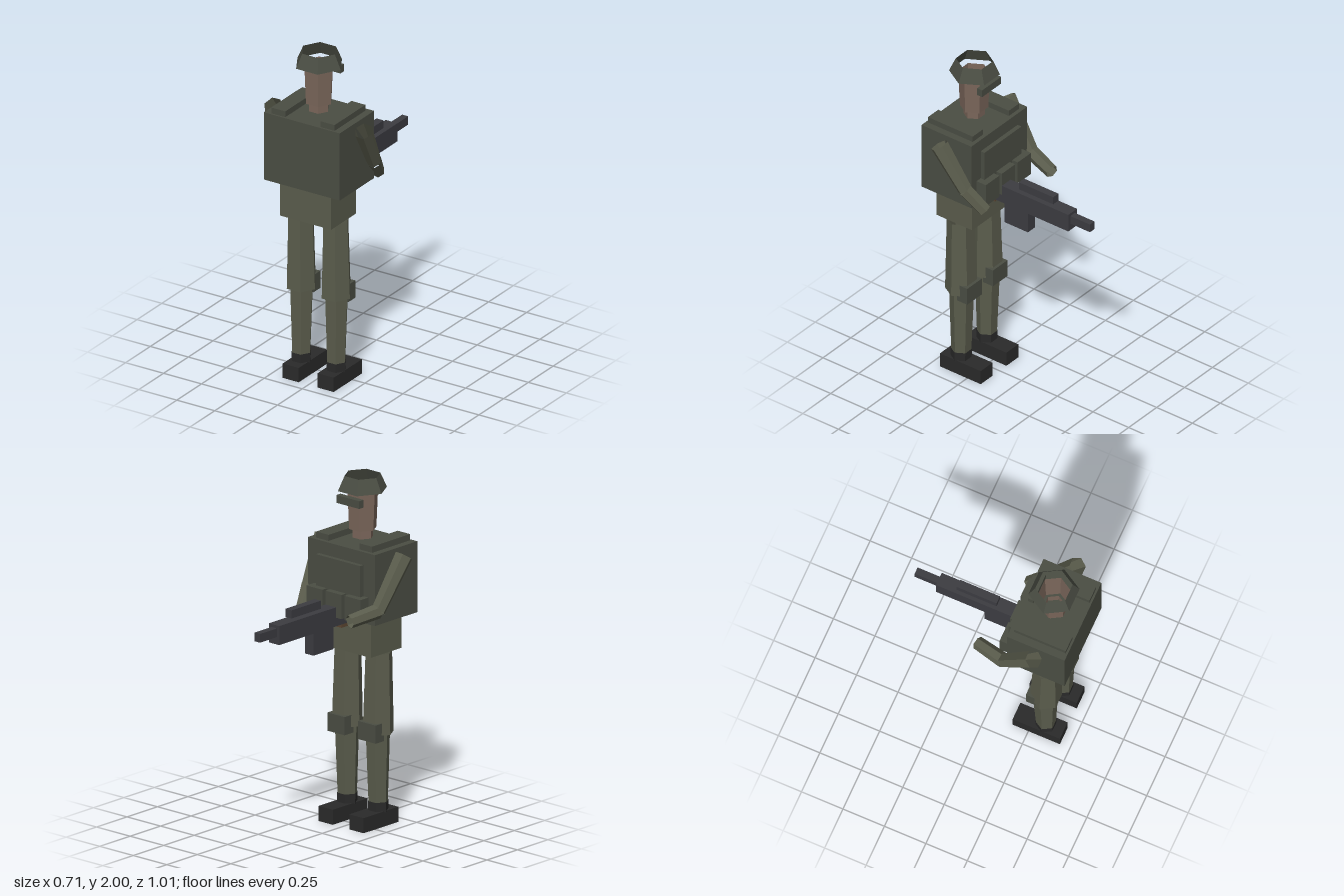
import * as THREE from 'three';

const mat = (color) => new THREE.MeshStandardMaterial({ color, flatShading: true, side: THREE.DoubleSide });

export function createModel() {
  const model = new THREE.Group();
  const vest = mat(0x4a4d43), cloth = mat(0x5a5c4c), dark = mat(0x2a2a2a);
  const skin = mat(0x7a665a), metal = mat(0x3c3c41), wood = mat(0x5c4632);

  const add = (name, geometry, material) => {
    const mesh = new THREE.Mesh(geometry, material);
    mesh.name = name;
    model.add(mesh);
    return mesh;
  };

  // Box given by its extents on each axis
  const box = (name, material, [x0, x1], [y0, y1], [z0, z1]) =>
    add(name, new THREE.BoxGeometry(x1 - x0, y1 - y0, z1 - z0), material)
      .position.set((x0 + x1) / 2, (y0 + y1) / 2, (z0 + z1) / 2);

  // Open six-sided tapered tube between two points
  const tube = (name, material, from, to, r0, r1) => {
    const a = new THREE.Vector3(...from), b = new THREE.Vector3(...to);
    const dir = b.clone().sub(a);
    const geo = new THREE.CylinderGeometry(r1, r0, dir.length(), 6, 1, true);
    geo.rotateY(Math.PI / 6);
    const mesh = add(name, geo, material);
    mesh.position.copy(a).add(b).multiplyScalar(0.5);
    // point the tube along the limb; upright tubes keep their corners on the x axis
    if (dir.y < 0) {
      mesh.quaternion.setFromUnitVectors(new THREE.Vector3(0, -1, 0), dir.normalize());
      geo.rotateX(Math.PI);
    } else {
      mesh.quaternion.setFromUnitVectors(new THREE.Vector3(0, 1, 0), dir.normalize());
    }
    return mesh;
  };

  // Body
  box('torso', vest, [-0.25, 0.25], [1.215, 1.625], [0.157, 0.505]);
  box('chestPlate', vest, [-0.165, 0.165], [1.3, 1.55], [0.13, 0.16]);
  box('waist', cloth, [-0.168, 0.168], [1.0, 1.198], [0.215, 0.465]);
  for (const x of [-0.142, 0, 0.142]) {
    box('pouch', vest, [x - 0.06, x + 0.06], [1.23, 1.37], [0.092, 0.16]);
  }

  // Head
  const z = 0.333;
  tube('neck', skin, [0, 1.64, z], [0, 1.7, z], 0.06, 0.06);
  tube('head', skin, [0, 1.69, z], [0, 1.92, z], 0.079, 0.089);
  tube('helmet', vest, [0, 1.916, z - 0.003], [0, 2.0, z - 0.003], 0.142, 0.104);
  box('goggles', vest, [-0.085, 0.085], [1.845, 1.89], [0.21, 0.245]);

  // Legs, boots and shoulder straps, mirrored
  for (const s of [-1, 1]) {
    const x = s * 0.115;
    tube('thigh', cloth, [x, 0.535, z], [x, 1.0, z + 0.005], 0.09, 0.077);
    tube('shin', cloth, [x, 0.1, z], [x, 0.56, z - 0.003], 0.055, 0.071);
    tube('bootShaft', dark, [x, 0.08, z], [x, 0.14, z], 0.058, 0.06);
    box('boot', dark, [x - 0.053, x + 0.053], [0, 0.087], [0.155, 0.44]);
    box('kneePad', vest, [x - 0.065, x + 0.065], [0.5, 0.605], [0.24, 0.31]);
    const strap = s * 0.162;
    box('shoulderStrap', vest, [strap - 0.046, strap + 0.046], [1.625, 1.66], [0.18, 0.493]);
  }

  // Arms: one reaches forward, the other bends down
  const arms = [
    [[-0.3, 1.59, 0.34], [-0.28, 1.31, 0.15], [-0.232, 1.28, -0.03]],
    [[0.3, 1.585, 0.34], [0.268, 1.335, 0.185], [0.225, 1.22, 0.08]],
  ];
  for (const [shoulder, elbow, hand] of arms) {
    tube('upperArm', cloth, shoulder, elbow, 0.053, 0.042);
    tube('forearm', cloth, elbow, hand, 0.043, 0.038);
  }

  // Rifle
  box('rifleBody', metal, [-0.019, 0.059], [1.18, 1.29], [-0.373, 0.29]);
  box('rifleBarrel', metal, [0, 0.04], [1.222, 1.273], [-0.51, -0.373]);
  box('rifleSight', metal, [-0.003, 0.043], [1.303, 1.35], [-0.255, -0.015]);
  box('rifleMagazine', metal, [-0.012, 0.052], [1.05, 1.18], [-0.085, 0.08]);
  box('rifleGrip', wood, [-0.008, 0.048], [1.155, 1.2], [0.15, 0.22]);
  box('rifleStock', cloth, [-0.015, 0.055], [1.195, 1.28], [0.29, 0.41]);

  return model;
}
